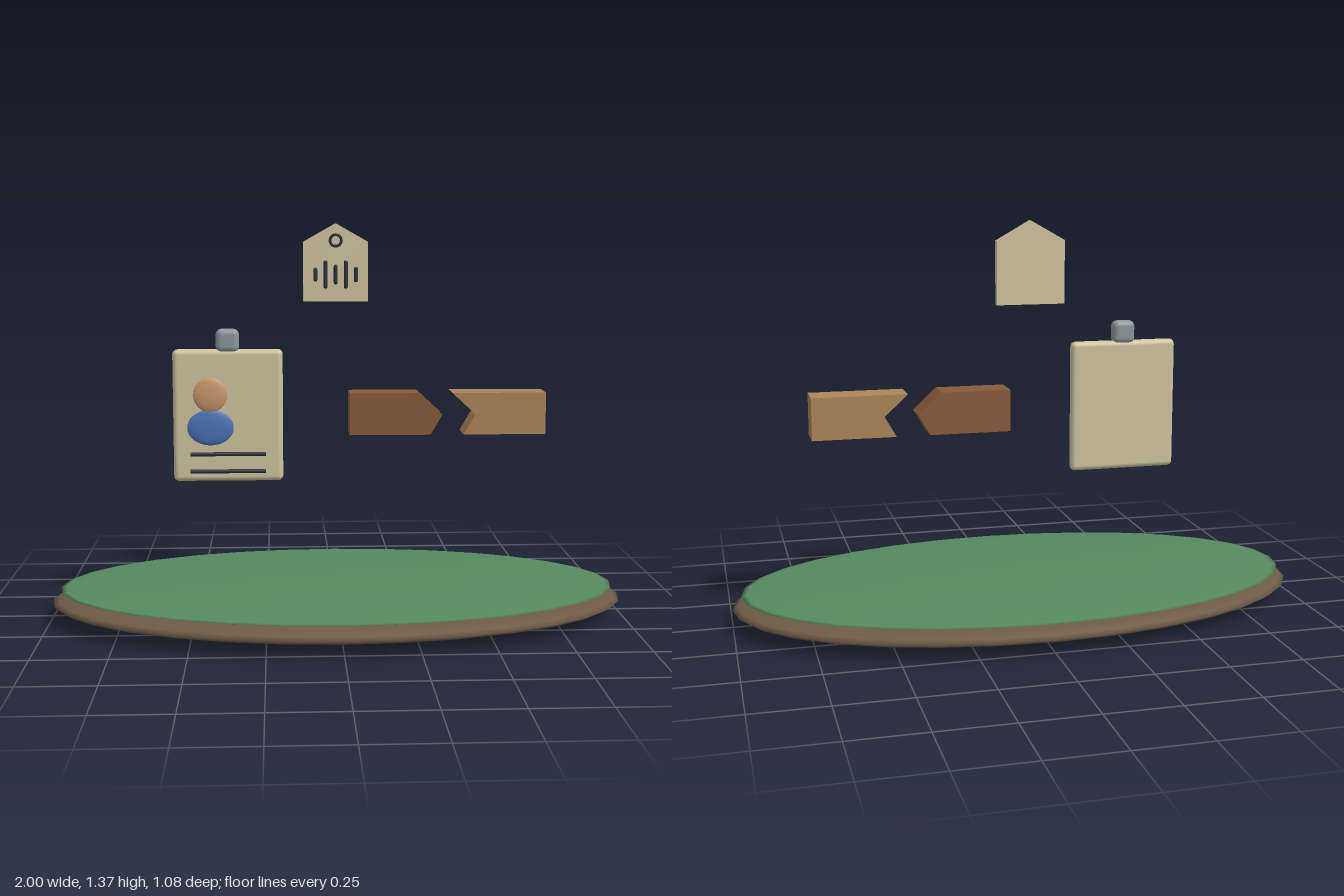
import * as THREE from 'three';
import { RoundedBoxGeometry } from 'three/addons/geometries/RoundedBoxGeometry.js';

const material = (color) => new THREE.MeshStandardMaterial({ color });
const MAT = {
  rim: material(0x6e5a46),
  green: material(0x568a60),
  cream: material(0xcfc2a0),
  metal: material(0x8a979c),
  skin: material(0xc8966a),
  blue: material(0x4a72b4),
  ink: material(0x263238),
  darkWood: material(0x87593a),
  lightWood: material(0xac8459),
};

function add(parent, name, geometry, mat, x, y, z) {
  const mesh = new THREE.Mesh(geometry, mat);
  mesh.name = name;
  mesh.position.set(x, y, z);
  parent.add(mesh);
  return mesh;
}

const ellipsoid = (rx, ry, rz) => new THREE.SphereGeometry(1, 32, 16).scale(rx, ry, rz);

// Flat outline extruded symmetrically about z = 0
function slab(points, depth) {
  const shape = new THREE.Shape(points.map(([x, y]) => new THREE.Vector2(x, y)));
  return new THREE.ExtrudeGeometry(shape, { depth, bevelEnabled: false }).translate(0, 0, -depth / 2);
}

function group(parent, name) {
  const g = new THREE.Group();
  g.name = name;
  parent.add(g);
  return g;
}

export function createModel() {
  const model = new THREE.Group();
  model.name = 'floatingSignsOverIsland';

  // Oval base with a green top
  const base = group(model, 'base');
  add(base, 'baseRim', ellipsoid(1, 0.06, 0.54), MAT.rim, 0, 0.06, 0);
  add(base, 'greenTop', ellipsoid(0.97, 0.018, 0.52), MAT.green, 0, 0.105, 0);

  // Identity card with clip, portrait and two lines
  const card = group(model, 'identityCard');
  add(card, 'cardPlate', new RoundedBoxGeometry(0.38, 0.46, 0.04, 3, 0.018), MAT.cream, -0.38, 0.71, 0);
  add(card, 'cardClip', new RoundedBoxGeometry(0.08, 0.08, 0.05, 3, 0.02), MAT.metal, -0.38, 0.97, 0);
  add(card, 'portraitHead', ellipsoid(0.058, 0.06, 0.012), MAT.skin, -0.44, 0.785, 0.037);
  add(card, 'portraitBody', ellipsoid(0.08, 0.062, 0.012), MAT.blue, -0.44, 0.672, 0.037);
  for (const y of [0.58, 0.52]) {
    const line = new THREE.CylinderGeometry(0.007, 0.007, 0.26, 10).rotateZ(Math.PI / 2);
    add(card, 'cardLine', line, MAT.ink, -0.38, y, 0.043);
  }

  // Pair of wooden blocks, one pointed and one notched
  const blocks = group(model, 'matchingBlocks');
  const pointed = [[0.04, 0.645], [0.32, 0.645], [0.36, 0.715], [0.28, 0.79], [0.04, 0.79]];
  const notched = [[0.435, 0.645], [0.72, 0.645], [0.72, 0.79], [0.395, 0.79], [0.475, 0.715]];
  add(blocks, 'pointedBlock', slab(pointed, 0.11), MAT.darkWood, 0, 0, 0);
  add(blocks, 'notchedBlock', slab(notched, 0.11), MAT.lightWood, 0, 0, 0);

  // Gabled tag with a ring and sound bars
  const tag = group(model, 'soundTag');
  const outline = [[-0.115, 1.095], [0.115, 1.095], [0.115, 1.305], [0, 1.37], [-0.115, 1.305]];
  add(tag, 'tagPlate', slab(outline, 0.026), MAT.cream, 0, 0, -0.165);
  add(tag, 'tagRing', new THREE.TorusGeometry(0.02, 0.005, 8, 24), MAT.ink, 0, 1.31, -0.148);
  [0.05, 0.1, 0.07, 0.1, 0.055].forEach((height, i) => {
    const bar = new THREE.CapsuleGeometry(0.007, height - 0.014, 4, 10);
    add(tag, 'soundBar', bar, MAT.ink, (i - 2) * 0.036, 1.19, -0.15);
  });

  return model;
}
